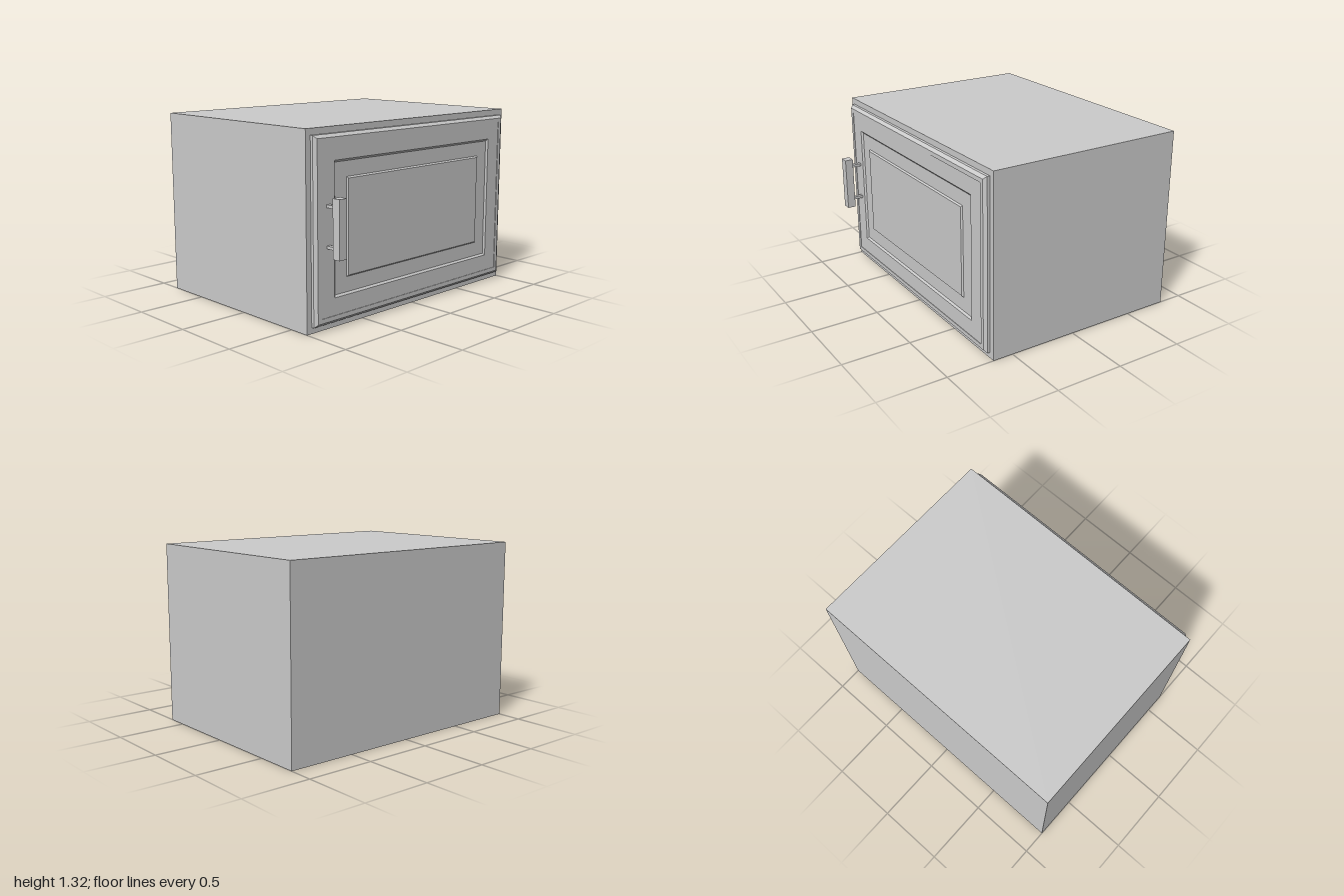
import * as THREE from 'three';

const material = new THREE.MeshStandardMaterial({ color: 0xcccccc, flatShading: true });
const MID_Y = 0.658;

function box(name, x0, x1, y0, y1, z0, z1) {
  const mesh = new THREE.Mesh(new THREE.BoxGeometry(x1 - x0, y1 - y0, z1 - z0), material);
  mesh.position.set((x0 + x1) / 2, (y0 + y1) / 2, (z0 + z1) / 2);
  mesh.name = name;
  return mesh;
}

// Door relief: nested rectangles, each given as [inset from door edge, x], joined and capped
function doorGeometry(halfZ, halfY, rings) {
  const positions = [];
  const index = [];
  const corners = [[1, -1], [-1, -1], [-1, 1], [1, 1]];
  rings.forEach(([inset, x], r) => {
    for (const [sz, sy] of corners) {
      positions.push(x, MID_Y + sy * (halfY - inset), sz * (halfZ - inset));
    }
    if (r === 0) return;
    for (let i = 0; i < 4; i++) {
      const j = (i + 1) % 4;
      const a = (r - 1) * 4;
      const b = r * 4;
      index.push(a + i, a + j, b + j, a + i, b + j, b + i);
    }
  });
  const last = (rings.length - 1) * 4;
  index.push(last, last + 1, last + 2, last, last + 2, last + 3);
  const geometry = new THREE.BufferGeometry();
  geometry.setAttribute('position', new THREE.Float32BufferAttribute(positions, 3));
  geometry.setIndex(index);
  const flat = geometry.toNonIndexed();
  flat.computeVertexNormals();
  return flat;
}

export function createModel() {
  const model = new THREE.Group();
  model.name = 'cabinet';

  model.add(box('cabinetBody', -0.82, 0.65, 0, 1.316, -1, 1));

  // Door with bevelled rim, sunken border and raised centre panel
  const door = new THREE.Mesh(doorGeometry(0.96, 0.615, [
    [0, 0.65], [0, 0.67], [0.02, 0.69],
    [0.05, 0.69], [0.05, 0.686],
    [0.168, 0.686], [0.182, 0.674],
    [0.285, 0.674], [0.295, 0.684],
  ]), material);
  door.name = 'door';
  model.add(door);

  // Handle: upright bar on two posts
  const handle = new THREE.Group();
  handle.name = 'handle';
  handle.add(box('handleBar', 0.76, 0.82, 0.495, 0.884, 0.812, 0.877));
  for (const y of [0.557, 0.822]) {
    handle.add(box('handlePost', 0.68, 0.765, y - 0.01, y + 0.01, 0.83, 0.859));
  }
  model.add(handle);

  return model;
}
